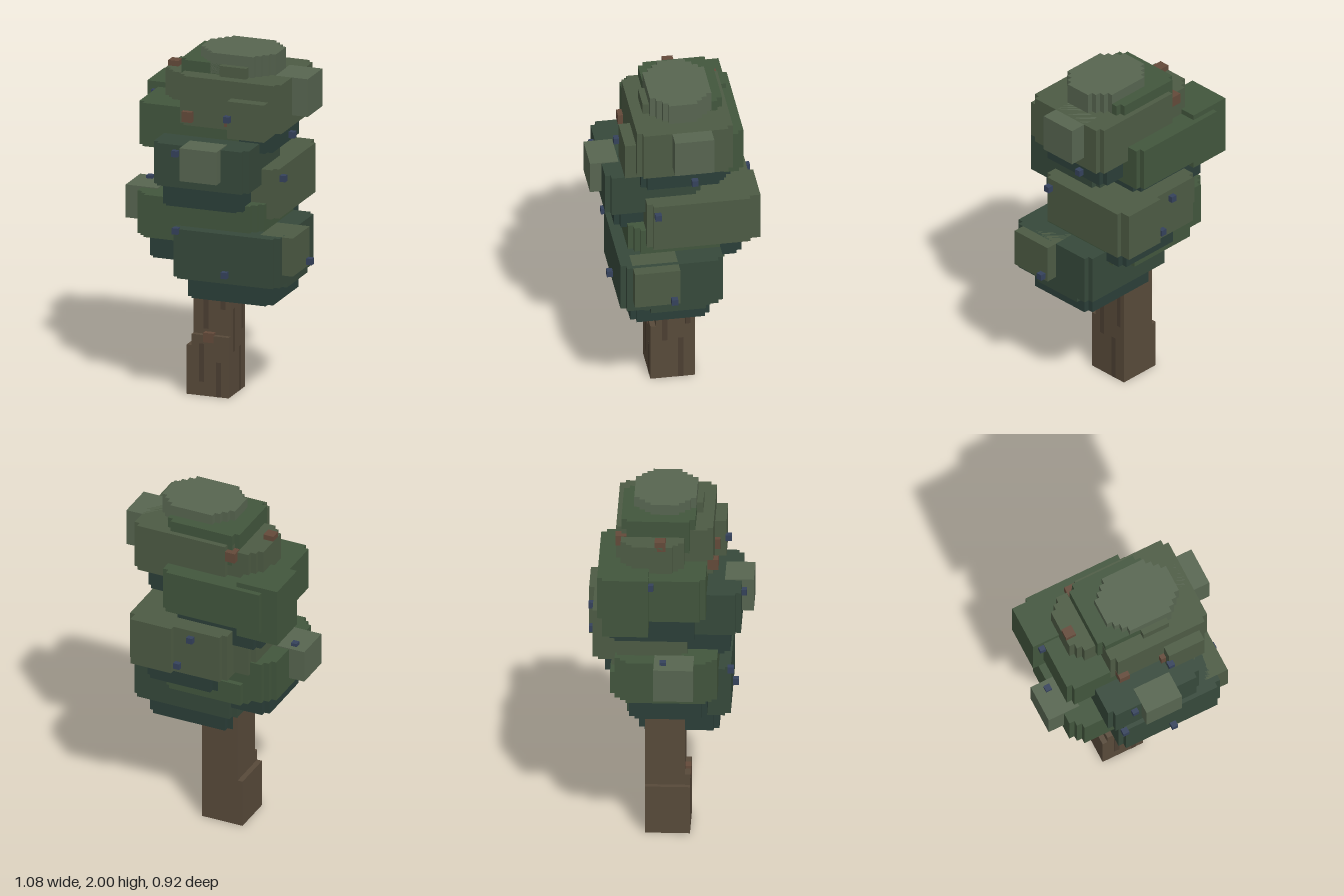
import * as THREE from 'three';

const STEP = 0.031;
const DEEP = 0x2b3f39, DARK = 0x36493b, MID = 0x42563d, LIGHT = 0x4d5b44, PALE = 0x576550;
const BARK = 0x584a3a, BARK_DARK = 0x4c3f32, TWIG = 0x644a3a, BERRY = 0x35425c;

const materials = {};
function material(color) {
  materials[color] ??= new THREE.MeshStandardMaterial({ color, flatShading: true });
  return materials[color];
}

// Slab given by its ranges; each vertical corner is cut back in n stair steps
function slab(parent, name, color, [x0, x1], [y0, y1], [z0, z1], n = 0) {
  let geometry;
  if (n === 0) {
    geometry = new THREE.BoxGeometry(x1 - x0, y1 - y0, z1 - z0);
    geometry.translate((x0 + x1) / 2, (y0 + y1) / 2, (z0 + z1) / 2);
  } else {
    const hx = (x1 - x0) / 2, hz = (z1 - z0) / 2;
    const quarter = [];
    for (let i = 0; i <= n; i++) {
      quarter.push([hx - i * STEP, hz - (n - i) * STEP]);
      if (i < n) quarter.push([hx - (i + 1) * STEP, hz - (n - i) * STEP]);
    }
    const back = [...quarter].reverse();
    const outline = [
      ...quarter,
      ...back.map(([x, z]) => [-x, z]),
      ...quarter.map(([x, z]) => [-x, -z]),
      ...back.map(([x, z]) => [x, -z]),
    ];
    const shape = new THREE.Shape(outline.map(([x, z]) => new THREE.Vector2(x, z)));
    geometry = new THREE.ExtrudeGeometry(shape, { depth: y1 - y0, bevelEnabled: false });
    geometry.rotateX(-Math.PI / 2);
    geometry.translate((x0 + x1) / 2, y0, (z0 + z1) / 2);
  }
  const mesh = new THREE.Mesh(geometry, material(color));
  mesh.name = name;
  parent.add(mesh);
}

function group(parent, name) {
  const g = new THREE.Group();
  g.name = name;
  parent.add(g);
  return g;
}

export function createModel() {
  const tree = new THREE.Group();
  tree.name = 'tree';

  // Trunk with thicker foot and inlaid bark strips
  const trunk = group(tree, 'trunk');
  slab(trunk, 'trunkCore', BARK, [-0.16, 0.06], [0, 0.75], [-0.14, 0.08]);
  slab(trunk, 'footFront', BARK, [-0.16, 0.06], [0, 0.35], [0.08, 0.11]);
  slab(trunk, 'footSide', BARK, [-0.19, -0.16], [0, 0.285], [-0.14, 0.11]);
  slab(trunk, 'knot', TWIG, [-0.09, -0.03], [0.31, 0.365], [0.08, 0.113]);
  for (const [x, y0, y1, z] of [[-0.085, 0.38, 0.61, 0.08], [0.015, 0.5, 0.61, 0.08], [-0.1, 0.08, 0.3, 0.11], [0.0, 0, 0.2, 0.11]])
    slab(trunk, 'barkStripFront', BARK_DARK, [x - 0.015, x + 0.015], [y0, y1], [z - 0.01, z + 0.001]);
  for (const [z, y0, y1] of [[-0.06, 0, 0.26], [0.03, 0.25, 0.5], [-0.1, 0.35, 0.61]])
    slab(trunk, 'barkStripSide', BARK_DARK, [0.05, 0.061], [y0, y1], [z - 0.015, z + 0.015]);

  // Lower foliage
  const lower = group(tree, 'lowerFoliage');
  slab(lower, 'bottomLayer', DEEP, [-0.13, 0.375], [0.61, 0.78], [-0.175, 0.27], 1);
  slab(lower, 'underLayer', DARK, [0.2, 0.43], [0.7, 0.8], [-0.17, 0.2], 1);
  slab(lower, 'wideLayer', DARK, [-0.19, 0.44], [0.735, 1.02], [-0.24, 0.335], 1);
  slab(lower, 'rightTuft', LIGHT, [0.31, 0.505], [0.8, 1.02], [0.015, 0.27]);
  slab(lower, 'leftUnderLayer', DEEP, [-0.38, 0.1], [0.8, 0.97], [-0.22, 0.21], 1);
  slab(lower, 'leftLayer', MID, [-0.445, 0.31], [0.93, 1.175], [-0.3, 0.268], 2);
  slab(lower, 'backLedge', MID, [-0.3, 0.2], [0.9, 1.03], [-0.33, -0.1], 1);
  slab(lower, 'leftTuft', PALE, [-0.54, -0.35], [0.99, 1.18], [-0.08, 0.14]);

  // Middle foliage
  const middle = group(tree, 'middleFoliage');
  slab(middle, 'backUnderLayer', DEEP, [-0.13, 0.3], [0.96, 1.1], [-0.365, 0.08], 1);
  slab(middle, 'backLayer', LIGHT, [-0.22, 0.375], [1.085, 1.37], [-0.43, 0.175], 1);
  slab(middle, 'backTuft', LIGHT, [0.095, 0.345], [1.085, 1.37], [-0.46, -0.3]);
  slab(middle, 'backLayerSide', LIGHT, [-0.345, 0], [1.1, 1.36], [-0.32, 0.1], 1);
  slab(middle, 'frontUnderLayer', DEEP, [-0.255, 0.22], [1.15, 1.3], [-0.1, 0.335], 1);
  slab(middle, 'frontLayer', DARK, [-0.285, 0.28], [1.28, 1.525], [-0.14, 0.395], 1);
  slab(middle, 'frontTuft', PALE, [-0.095, 0.125], [1.34, 1.53], [0.3, 0.46]);
  slab(middle, 'sideUnderLayer', DEEP, [-0.38, 0.15], [1.28, 1.46], [-0.33, 0.14], 1);

  // Upper foliage
  const upper = group(tree, 'upperFoliage');
  slab(upper, 'leftLayer', MID, [-0.445, 0.19], [1.435, 1.685], [-0.395, 0.205], 1);
  slab(upper, 'leftBackTuft', MID, [-0.51, -0.26], [1.37, 1.715], [-0.365, -0.11]);
  slab(upper, 'crownUnderLayer', DEEP, [-0.1, 0.345], [1.47, 1.63], [-0.26, 0.205], 1);
  slab(upper, 'crownLayer', LIGHT, [-0.19, 0.41], [1.595, 1.878], [-0.3, 0.237], 1);
  slab(upper, 'crownFrontTuft', LIGHT, [0.125, 0.345], [1.565, 1.78], [0.15, 0.3]);
  slab(upper, 'crownRightTuft', PALE, [0.31, 0.505], [1.66, 1.878], [-0.175, 0.045]);
  slab(upper, 'crownLeftLayer', LIGHT, [-0.35, 0.05], [1.685, 1.845], [-0.27, 0.08], 2);
  slab(upper, 'topLayer', MID, [-0.22, 0.22], [1.75, 1.94], [-0.27, 0.14], 1);
  slab(upper, 'topFrontTuft', LIGHT, [0.03, 0.19], [1.86, 1.94], [0, 0.175]);
  slab(upper, 'cap', PALE, [-0.13, 0.315], [1.88, 2], [-0.205, 0.14], 3);

  // Twig ends poking out of the crown
  const twigs = group(tree, 'twigs');
  slab(twigs, 'twig', TWIG, [-0.35, -0.29], [1.82, 1.876], [-0.08, -0.02]);
  slab(twigs, 'twig', TWIG, [-0.22, -0.16], [1.79, 1.85], [-0.302, -0.24]);
  slab(twigs, 'twig', TWIG, [-0.16, -0.1], [1.62, 1.68], [0.2, 0.266]);
  slab(twigs, 'twig', TWIG, [0.095, 0.155], [1.62, 1.68], [0.2, 0.266]);

  // Berries on the outer faces
  const berries = group(tree, 'berries');
  const spots = [
    [-0.46, 1.655, -0.1], [-0.14, 1.48, 0.405], [0.13, 1.68, 0.312], [0.36, 1.505, -0.09],
    [0.39, 1.315, 0.12], [-0.46, 1.18, -0.03], [-0.455, 0.975, 0.1], [-0.165, 1.01, 0.335],
    [0.13, 0.79, 0.35], [0.52, 0.83, 0.05], [-0.015, 1.32, -0.44], [0.065, 1.135, -0.44],
  ];
  const r = 0.018;
  for (const [x, y, z] of spots)
    slab(berries, 'berry', BERRY, [x - r, x + r], [y - r, y + r], [z - r, z + r]);

  return tree;
}
